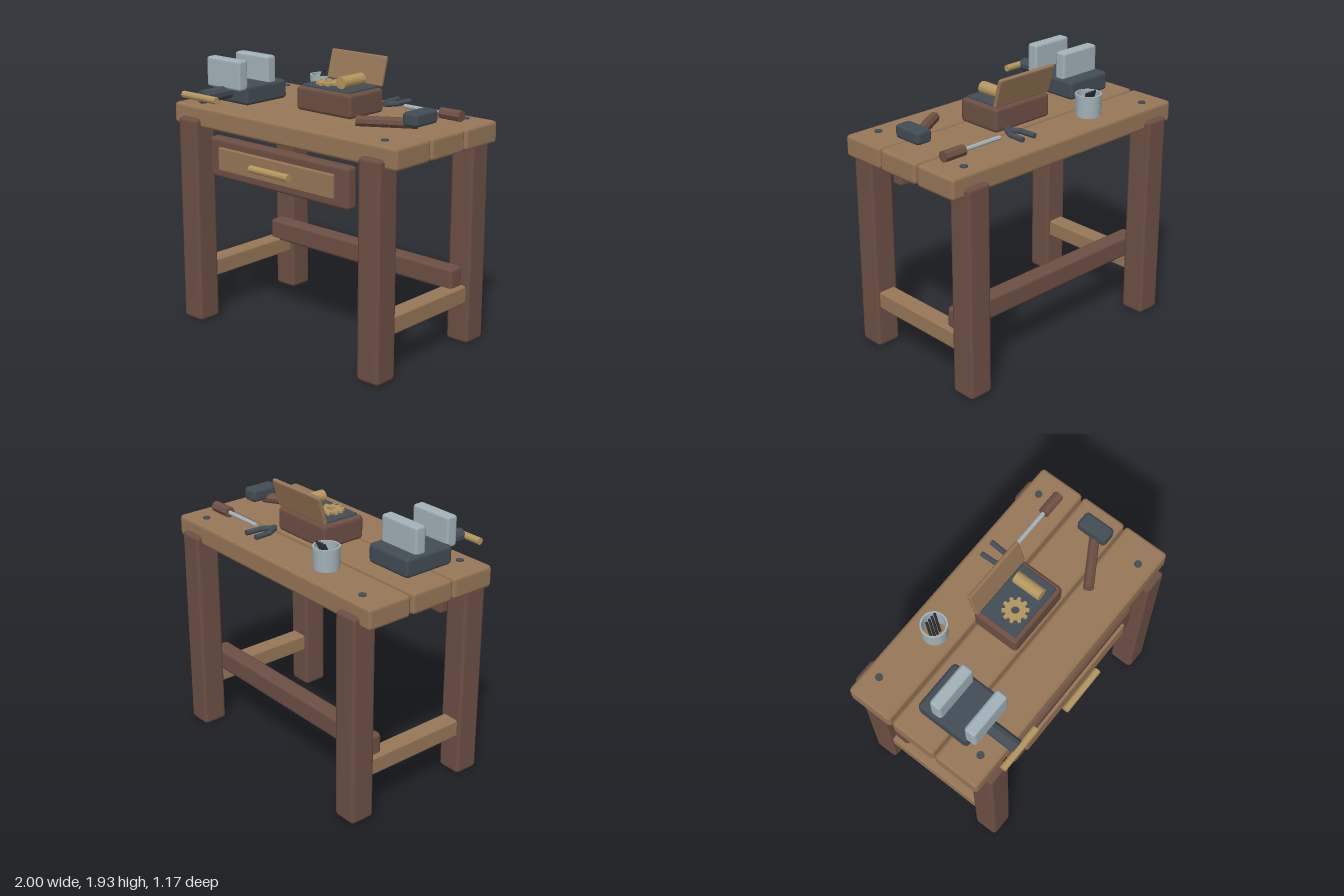
import * as THREE from 'three';
import { RoundedBoxGeometry } from 'three/addons/geometries/RoundedBoxGeometry.js';

const mat = (name, color) => {
  const m = new THREE.MeshStandardMaterial({ color });
  m.name = name;
  return m;
};

export function createModel() {
  const darkWood = mat('dark wood', 0x6d5044);
  const lightWood = mat('light wood', 0x977757);
  const iron = mat('dark iron', 0x434d56);
  const steel = mat('pale steel', 0xa3b3ba);
  const brass = mat('brass', 0xb3965e);
  const black = mat('black nails', 0x2a2e33);
  const root = new THREE.Group();

  const add = (name, geometry, material, parent = root) => {
    const mesh = new THREE.Mesh(geometry, material);
    mesh.name = name;
    parent.add(mesh);
    return mesh;
  };
  // Box with softened edges, given by its limits on each axis
  const box = (name, material, [x0, x1], [y0, y1], [z0, z1], r = 0.02) => {
    const mesh = add(name, new RoundedBoxGeometry(x1 - x0, y1 - y0, z1 - z0, 1, r), material);
    mesh.position.set((x0 + x1) / 2, (y0 + y1) / 2, (z0 + z1) / 2);
    return mesh;
  };
  // Faceted rod between two points
  const rod = (name, material, a, b, r, sides = 8) => {
    const from = new THREE.Vector3(...a), to = new THREE.Vector3(...b);
    const dir = to.clone().sub(from);
    const g = new THREE.CylinderGeometry(r, r, dir.length(), sides).toNonIndexed();
    g.computeVertexNormals();
    const mesh = add(name, g, material);
    mesh.position.copy(from).lerp(to, 0.5);
    mesh.quaternion.setFromUnitVectors(new THREE.Vector3(0, 1, 0), dir.normalize());
    return mesh;
  };

  // Table top: three planks
  for (const z of [0.32, -0.025, -0.375])
    box('topPlank', lightWood, [-1, 1], [1.404, 1.554], [z - 0.168, z + 0.168], 0.025);

  // Legs, side rails and bolts
  for (const s of [-1, 1]) {
    const span = (a, b) => (s > 0 ? [a, b] : [-b, -a]);
    box('frontLeg', darkWood, span(0.73, 0.91), [0, 1.47], [0.355, 0.535], 0.025);
    box('backLeg', darkWood, span(0.73, 0.91), [0, 1.47], [-0.585, -0.405], 0.025);
    box('sideRail', lightWood, span(0.755, 0.885), [0.292, 0.417], [-0.45, 0.4], 0.015);
    for (const z of [0.378, -0.44])
      rod('bolt', iron, [s * 0.817, 1.54, z], [s * 0.817, 1.563, z], 0.025, 14);
  }
  box('backRail', darkWood, [-0.85, 0.85], [0.4, 0.555], [-0.415, -0.29], 0.025);

  // Drawer
  box('drawerFront', darkWood, [-0.634, 0.627], [1.09, 1.37], [0.41, 0.502], 0.025);
  box('drawerPanel', lightWood, [-0.526, 0.516], [1.15, 1.311], [0.48, 0.522], 0.01);
  rod('drawerHandle', brass, [-0.176, 1.232, 0.558], [0.172, 1.232, 0.558], 0.025, 10);

  // Bench vise
  box('viseBody', iron, [-0.84, -0.477], [1.562, 1.697], [-0.1, 0.288], 0.025);
  for (const z of [0.032, 0.3])
    box('viseJaw', steel, [-0.819, -0.493], [1.665, 1.875], [z - 0.043, z + 0.043], 0.02);
  rod('viseScrew', iron, [-0.655, 1.64, 0.2], [-0.655, 1.64, 0.54], 0.047, 10);
  rod('viseHandle', brass, [-0.819, 1.64, 0.554], [-0.492, 1.64, 0.554], 0.024, 10);

  // Open cup with four leaning nails
  const cup = [[0.076, 0], [0.086, 0], [0.09, 0.15], [0.078, 0.15], [0.076, 0]]
    .map(([r, y]) => new THREE.Vector2(r, y));
  const cupGeo = new THREE.LatheGeometry(cup, 24).toNonIndexed();
  cupGeo.computeVertexNormals();
  add('cup', cupGeo, steel).position.set(-0.371, 1.56, -0.352);
  for (let i = 0; i < 4; i++) {
    const x = -0.371 + (i - 1.5) * 0.026;
    rod('nail', black, [x - 0.015, 1.585, -0.328], [x + 0.015, 1.732, -0.388], 0.009, 6);
  }

  // Toolbox with tray and tilted open lid
  box('toolbox', darkWood, [-0.163, 0.323], [1.562, 1.727], [-0.2, 0.138], 0.025);
  box('toolboxTray', iron, [-0.131, 0.29], [1.7, 1.741], [-0.168, 0.11], 0.008);
  const lid = box('toolboxLid', lightWood, [-0.163, 0.323], [1.73, 1.936], [-0.22, -0.19], 0.012);
  lid.rotation.x = -0.27;

  // Gear with ten teeth, lying in the tray
  const gear = new THREE.Shape();
  const teeth = 10;
  for (let i = 0; i < teeth; i++)
    [[0, 0.066], [0.25, 0.066], [0.38, 0.088], [0.75, 0.088], [0.9, 0.066]].forEach(([t, r], k) => {
      const a = ((i + t) / teeth) * Math.PI * 2;
      gear[i + k ? 'lineTo' : 'moveTo'](r * Math.cos(a), r * Math.sin(a));
    });
  gear.closePath();
  gear.holes.push(new THREE.Path().absarc(0, 0, 0.027, 0, Math.PI * 2, true));
  const gearMesh = add('gear', new THREE.ExtrudeGeometry(gear, { depth: 0.024, bevelEnabled: false }), brass);
  gearMesh.rotation.x = -Math.PI / 2;
  gearMesh.position.set(0.008, 1.735, 0);

  rod('brassRoller', brass, [0.182, 1.779, -0.13], [0.182, 1.779, 0.074], 0.042, 16);

  // Pliers: two mirrored bent arms meeting at a joint
  for (const s of [-1, 1]) {
    const x = (d) => 0.283 + s * d;
    const path = [[x(0.052), 1.6, -0.455], [x(0.046), 1.6, -0.335], [x(0.004), 1.6, -0.262]];
    rod('pliersGrip', iron, path[0], path[1], 0.019, 8);
    rod('pliersJaw', iron, path[1], path[2], 0.019, 8);
    add('pliersElbow', new THREE.SphereGeometry(0.019, 8, 6), iron).position.set(...path[1]);
  }
  rod('pliersJoint', iron, [0.283, 1.585, -0.266], [0.283, 1.618, -0.266], 0.02, 10);

  // Screwdriver
  rod('screwdriverShaft', steel, [0.404, 1.597, -0.318], [0.72, 1.597, -0.318], 0.015, 8);
  rod('screwdriverHandle', darkWood, [0.71, 1.598, -0.318], [0.875, 1.598, -0.318], 0.038, 8);

  // Mallet
  rod('malletHandle', darkWood, [0.462, 1.6, 0.238], [0.8, 1.6, 0.038], 0.036, 8);
  box('malletHead', iron, [0.752, 0.872], [1.592, 1.687], [-0.082, 0.143], 0.025);

  return root;
}
